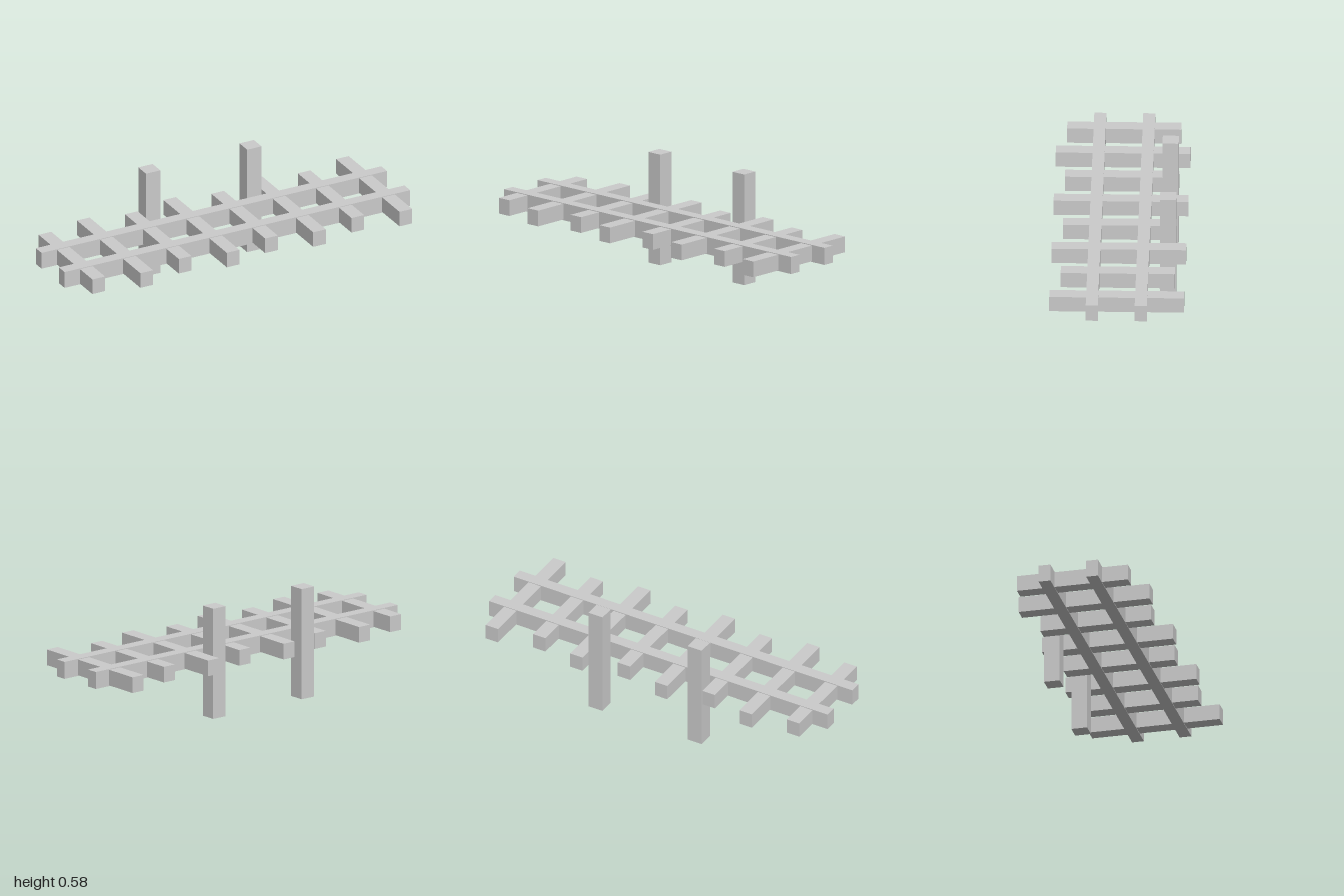
import * as THREE from 'three';

export function createModel() {
  const model = new THREE.Group();
  const material = new THREE.MeshStandardMaterial({ color: 0xcccccc, flatShading: true });
  const deckY = 0.293;

  function addBeam(name, size, position) {
    const beam = new THREE.Mesh(new THREE.BoxGeometry(...size), material);
    beam.name = name;
    beam.position.set(...position);
    model.add(beam);
  }

  // Two long rails, slightly taller than the crossbars, and two upright posts at the back
  for (const side of [-1, 1]) {
    addBeam(side > 0 ? 'frontRail' : 'backRail', [2, 0.09, 0.062], [0, deckY, side * 0.125]);
    addBeam(side > 0 ? 'leftPost' : 'rightPost', [0.083, 0.584, 0.083], [side * 0.293, 0.292, -0.25]);
  }

  // Eight crossbars, alternating short and long
  for (let i = 0; i < 8; i++) {
    const length = i % 2 ? 0.688 : 0.583;
    addBeam(`crossbar${i + 1}`, [0.073, 0.083, length], [-0.875 + i * 0.25, deckY, 0]);
  }

  return model;
}
